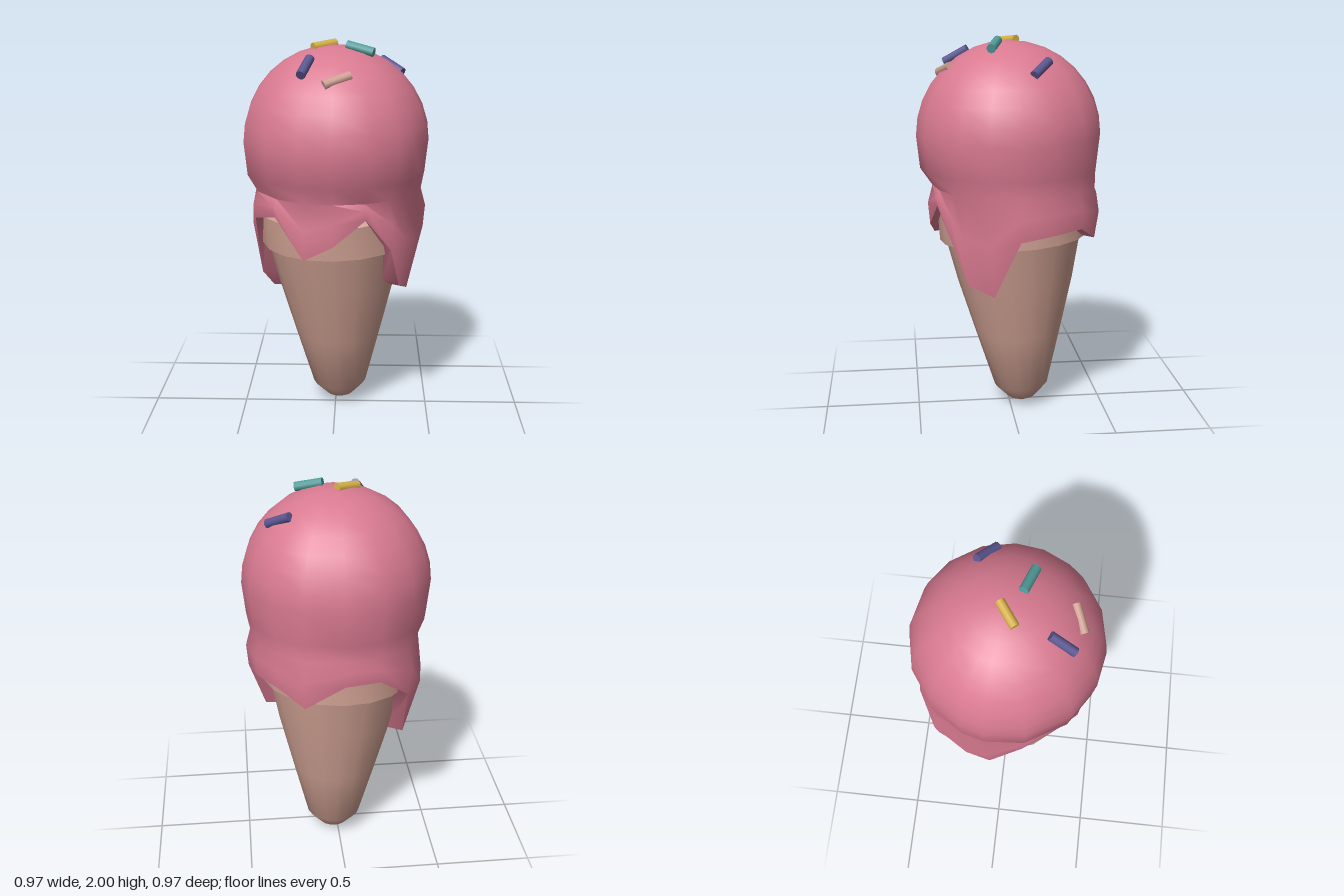
import * as THREE from 'three';
import { toCreasedNormals } from 'three/addons/utils/BufferGeometryUtils.js';

const material = (name, color) => {
  const m = new THREE.MeshStandardMaterial({ color });
  m.name = name;
  return m;
};

// Melting scoop: rings running from the crown, over the hem and back up inside
function scoopGeometry() {
  // each column: angle from the front towards +x, height of the hem, bulge radius
  const columns = [
    [0, 1.02, 0.43], [22.5, 1.15, 0.43], [42, 0.98, 0.44], [54, 0.77, 0.45], [73, 0.715, 0.46],
    [91, 1.02, 0.475], [112, 1.04, 0.47], [135, 1.05, 0.48], [155, 0.97, 0.49], [180, 1.1, 0.47],
    [203, 1.1, 0.47], [226, 0.97, 0.49], [248, 0.64, 0.46], [262, 0.74, 0.45], [286, 1.09, 0.44],
    [315, 1.14, 0.43], [339, 0.94, 0.43],
  ];
  const n = columns.length, R = 0.485, cy = 1.49, capRows = 8;
  const positions = [0, cy + R, 0], index = [];
  const coneRadius = (y) => 0.14 + (y - 0.1) * 0.285;
  const rings = [];
  for (let i = 1; i <= capRows; i++) {
    const t = (i / capRows) * Math.PI / 2;
    rings.push(() => [R * Math.sin(t), cy + R * Math.cos(t)]);
  }
  rings.push(
    () => [0.467, 1.32],
    (hem, bulge) => [bulge - 0.025, 1.23],
    (hem, bulge) => [bulge, 1.23 + (hem - 1.23) * 0.45],
    (hem, bulge) => [Math.min(coneRadius(hem) + 0.08, bulge - 0.01), hem],
    (hem) => [hem > 0.93 ? 0.375 : coneRadius(hem) - 0.02, hem + 0.01],
    () => [0.3, 1.25],
  );
  rings.forEach((ring) => columns.forEach(([deg, hem, bulge]) => {
    const a = THREE.MathUtils.degToRad(deg);
    const [r, y] = ring(hem, bulge);
    positions.push(r * Math.sin(a), y, r * Math.cos(a));
  }));
  for (let j = 0; j < n; j++) {
    const k = (j + 1) % n;
    index.push(0, 1 + j, 1 + k);
    for (let i = 0; i < rings.length - 1; i++) {
      const a = 1 + i * n + j, d = 1 + i * n + k;
      index.push(a, a + n, d + n, a, d + n, d);
    }
  }
  const g = new THREE.BufferGeometry();
  g.setAttribute('position', new THREE.Float32BufferAttribute(positions, 3));
  g.setIndex(index);
  return toCreasedNormals(g, 0.95);
}

// Wafer cone with a rounded tip and a stepped collar
function coneGeometry() {
  const profile = [
    [0, 0], [0.075, 0.035], [0.145, 0.11], [0.23, 0.42], [0.31, 0.72], [0.36, 0.95],
    [0.392, 0.95], [0.395, 1.12], [0.33, 1.2], [0, 1.2],
  ].map(([r, y]) => new THREE.Vector2(r, y));
  return toCreasedNormals(new THREE.LatheGeometry(profile, 18), 0.6);
}

export function createModel() {
  const model = new THREE.Group();
  const pink = material('strawberry pink', 0xd97a91);
  const wafer = material('wafer tan', 0xcd9f91);
  const yellow = material('yellow', 0xd6b148);
  const teal = material('teal', 0x509c9a);
  const purple = material('purple', 0x5b5690);

  const add = (name, geometry, mat) => {
    const mesh = new THREE.Mesh(geometry, mat);
    mesh.name = name;
    model.add(mesh);
    return mesh;
  };

  add('scoop', scoopGeometry(), pink);

  // the cone leans slightly
  const cone = add('cone', coneGeometry(), wafer);
  cone.position.set(0.025, 0.002, -0.07);
  cone.rotation.set(0.05, 0, 0.025);

  // sprinkles, each between two end points
  const up = new THREE.Vector3(0, 1, 0);
  [
    [yellow, [-0.112, 1.963, 0.045], [0, 1.978, -0.036]],
    [teal, [0.06, 1.978, 0.065], [0.195, 1.945, 0.11]],
    [purple, [-0.12, 1.925, 0.205], [-0.16, 1.855, 0.325]],
    [wafer, [-0.048, 1.812, 0.358], [0.08, 1.852, 0.305]],
    [purple, [0.24, 1.885, -0.17], [0.345, 1.825, -0.085]],
  ].forEach(([mat, from, to]) => {
    const a = new THREE.Vector3(...from), b = new THREE.Vector3(...to);
    const g = new THREE.CylinderGeometry(0.024, 0.024, a.distanceTo(b), 10);
    const s = add('sprinkle', g, mat);
    s.position.copy(a).lerp(b, 0.5);
    s.quaternion.setFromUnitVectors(up, b.sub(a).normalize());
  });

  return model;
}
